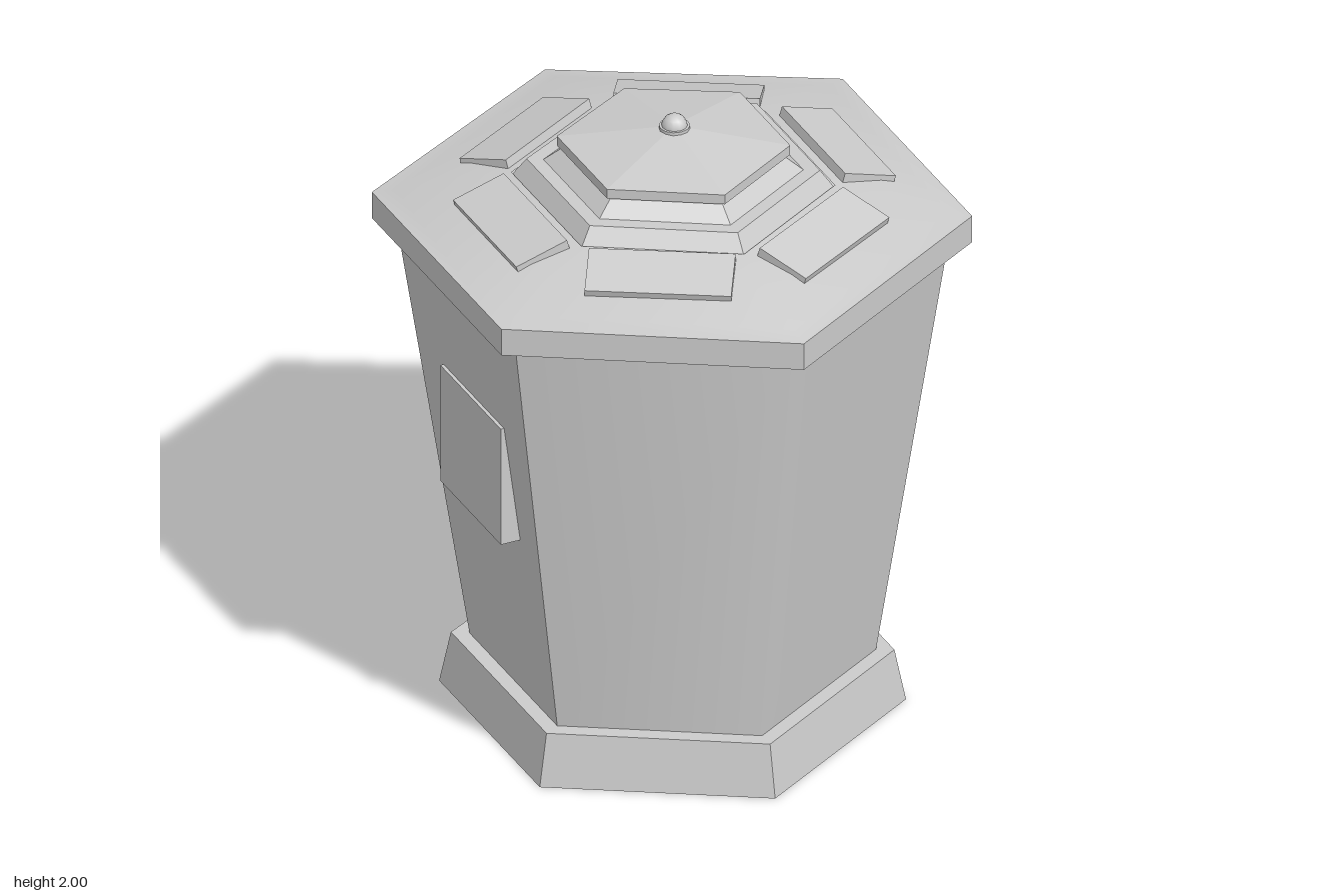
import * as THREE from 'three';

const material = new THREE.MeshStandardMaterial({ color: 0xcccccc });
const doubleMaterial = new THREE.MeshStandardMaterial({ color: 0xcccccc, side: THREE.DoubleSide });

// The side corners sit slightly towards the back
function skew(geometry) {
  const p = geometry.attributes.position;
  for (let i = 0; i < p.count; i++) p.setZ(i, p.getZ(i) - 0.022 * Math.abs(p.getX(i)));
  return geometry;
}

// Faceted six-sided frustum with corners at +z and -z
function hex(rBottom, rTop, yBottom, yTop) {
  const g = new THREE.CylinderGeometry(rTop, rBottom, yTop - yBottom, 6).toNonIndexed();
  g.translate(0, (yBottom + yTop) / 2, 0);
  skew(g).computeVertexNormals();
  return g;
}

export function createModel() {
  const model = new THREE.Group();
  const add = (name, geometry, mat = material, parent = model) => {
    const mesh = new THREE.Mesh(geometry, mat);
    mesh.name = name;
    parent.add(mesh);
    return mesh;
  };

  // Foot
  add('base', hex(0.7, 0.665, 0, 0.17));

  // Tapered body, shaded smoothly over its front and back corners
  const body = hex(0.608, 0.83, 0.16, 1.6);
  const p = body.attributes.position, n = body.attributes.normal;
  for (let i = 0; i < p.count; i++) {
    if (Math.abs(p.getX(i)) > 0.01 || Math.abs(n.getY(i)) > 0.9) continue;
    const len = Math.hypot(n.getY(i), n.getZ(i));
    n.setXYZ(i, 0, n.getY(i) / len, n.getZ(i) / len);
  }
  add('body', body);

  // Square plates on both sides
  for (const side of [1, -1]) {
    const plate = add(side > 0 ? 'leftPlate' : 'rightPlate', new THREE.BoxGeometry(0.17, 0.4, 0.42));
    plate.position.set(side * 0.59, 0.99, 0);
  }

  // Lid rim and softly shaded roof
  add('rim', hex(0.9, 0.9, 1.59, 1.68));
  const profile = [[0.9, 1.68], [0.83, 1.692], [0.67, 1.742], [0.485, 1.772]];
  const roof = new THREE.LatheGeometry(profile.map(([r, y]) => new THREE.Vector2(r, y)), 6);
  add('roof', skew(roof), doubleMaterial);

  // One tilted panel per roof face
  const panels = new THREE.Group();
  panels.name = 'roofPanels';
  model.add(panels);
  for (let i = 0; i < 6; i++) {
    const spoke = new THREE.Group();
    spoke.rotation.y = (i * Math.PI) / 3;
    panels.add(spoke);
    const panel = add('roofPanel', new THREE.BoxGeometry(0.175, 0.032, 0.44), material, spoke);
    panel.position.set(0.54, 1.755, 0);
    panel.rotation.z = -0.29;
  }

  // Stepped crown
  add('lowerTier', hex(0.487, 0.44, 1.76, 1.822));
  add('upperTier', hex(0.39, 0.32, 1.822, 1.876));
  add('capBrim', hex(0.35, 0.35, 1.873, 1.905));
  add('capRoof', hex(0.35, 0.02, 1.905, 1.958));

  // Knob
  add('knobCollar', new THREE.CylinderGeometry(0.047, 0.047, 0.02, 12)).position.y = 1.953;
  add('knob', new THREE.SphereGeometry(0.04, 12, 8)).position.y = 1.96;

  return model;
}
